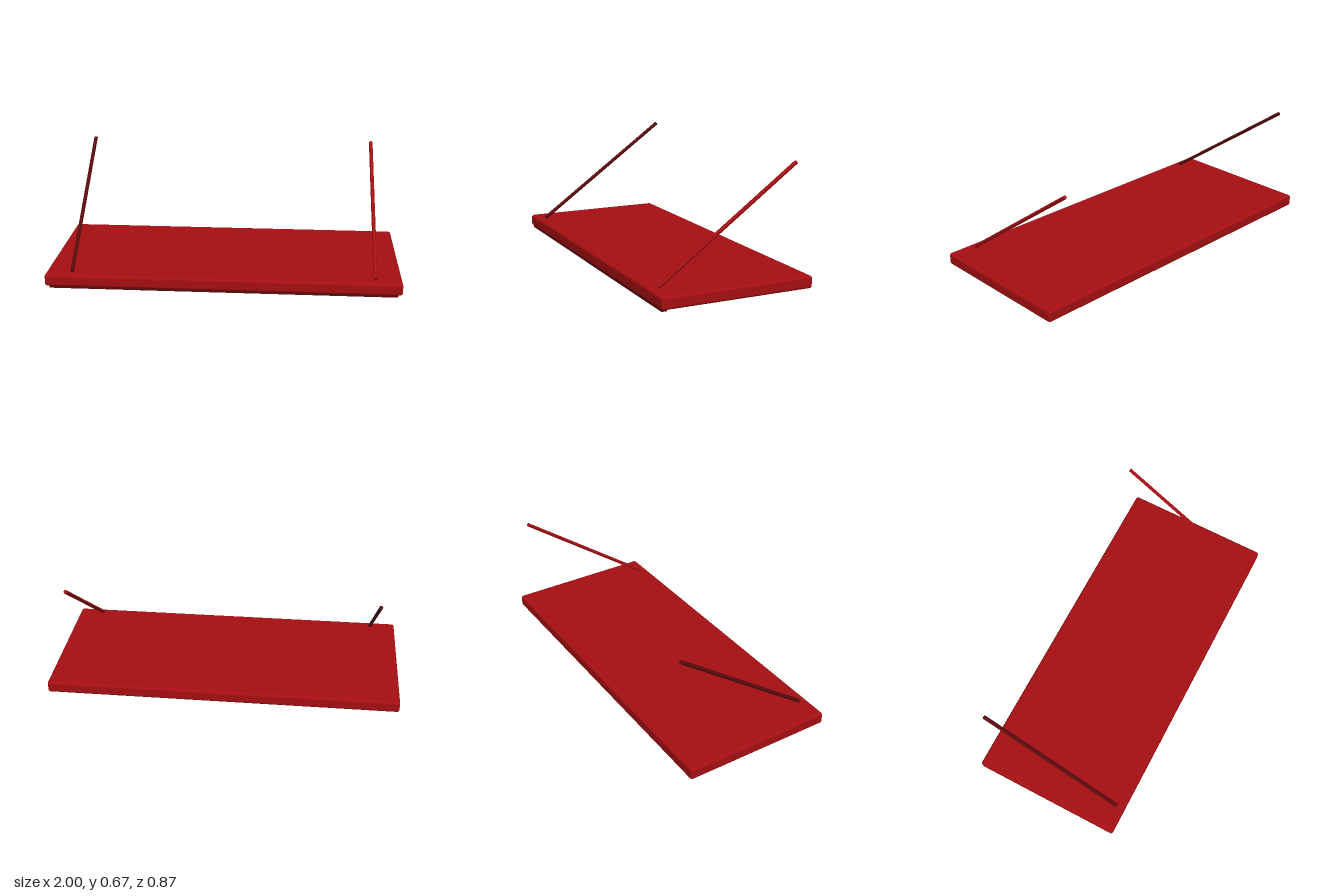
import * as THREE from 'three';
import { RoundedBoxGeometry } from 'three/addons/geometries/RoundedBoxGeometry.js';

export function createModel() {
  const group = new THREE.Group();
  const red = new THREE.MeshStandardMaterial({ color: 0xa60f12 });
  red.name = 'red';
  const darkRed = new THREE.MeshStandardMaterial({ color: 0x5c0a0c });
  darkRed.name = 'dark red';

  const add = (name, geometry, material, x, y, z) => {
    const mesh = new THREE.Mesh(geometry, material);
    mesh.name = name;
    mesh.position.set(x, y, z);
    group.add(mesh);
    return mesh;
  };

  // Flat slab with softened edges
  add('board', new RoundedBoxGeometry(2, 0.068, 0.874, 3, 0.014), red, 0, 0.046, 0);

  // Thin strip under the front edge
  add('frontStrip', new THREE.BoxGeometry(1.95, 0.016, 0.03), darkRed, 0, 0.008, 0.414);

  // Three round pads under the middle
  const padGeometry = new THREE.CylinderGeometry(0.044, 0.044, 0.016, 16);
  for (const x of [-0.61, 0, 0.61]) add('pad', padGeometry, red, x, 0.008, 0.013);

  // Slanted support rods, rising from the front to the back
  const start = new THREE.Vector3(0, 0.087, 0.387);
  const end = new THREE.Vector3(0, 0.662, -0.412);
  const along = end.clone().sub(start);
  const middle = start.clone().add(end).multiplyScalar(0.5);
  const rodGeometry = new THREE.CylinderGeometry(0.011, 0.011, along.length(), 6, 1, false, Math.PI / 6).toNonIndexed();
  rodGeometry.computeVertexNormals();
  for (const side of [-1, 1]) {
    const rod = add(side > 0 ? 'leftRod' : 'rightRod', rodGeometry, side > 0 ? red : darkRed,
      side * 0.85, middle.y, middle.z);
    rod.rotation.x = Math.atan2(along.z, along.y);
  }

  return group;
}
